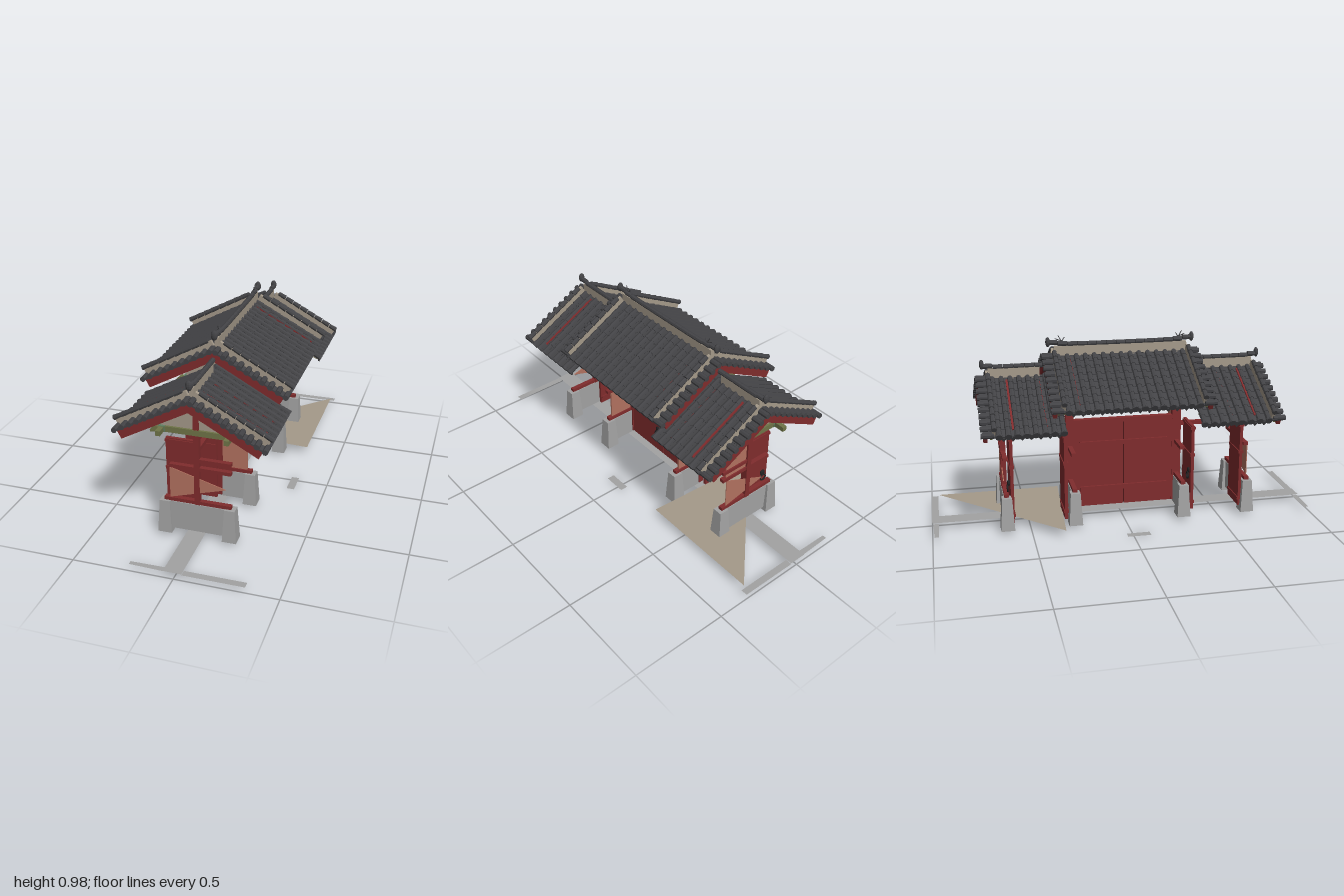
import * as THREE from 'three';
import { mergeGeometries } from 'three/addons/utils/BufferGeometryUtils.js';

const mat = (name, color, side = THREE.FrontSide) => {
  const m = new THREE.MeshStandardMaterial({ color, side, flatShading: true });
  m.name = name;
  return m;
};
const M = {
  tile: mat('dark tile', 0x434346),
  red: mat('red wood', 0x802c2d),
  wall: mat('terracotta plaster', 0xb37260, THREE.DoubleSide),
  tan: mat('tan mortar', 0xa59a8a, THREE.DoubleSide),
  olive: mat('olive timber', 0x6f7448),
  green: mat('green bracket', 0x5f8063),
  stone: mat('grey stone', 0xa3a3a3, THREE.DoubleSide),
  iron: mat('black iron', 0x232324),
  frame: mat('plaque frame', 0x7f8886),
};
const SLOPE = 0.54, ANGLE = Math.atan(SLOPE), LEN = 0.42, SEGS = 8;

function add(parent, name, geo, material, x = 0, y = 0, z = 0) {
  const m = new THREE.Mesh(geo, material);
  m.name = name;
  m.position.set(x, y, z);
  parent.add(m);
  return m;
}
// box given by its min and max on each axis
function span(parent, name, material, x0, x1, y0, y1, z0, z1) {
  return add(parent, name, new THREE.BoxGeometry(x1 - x0, y1 - y0, z1 - z0), material,
    (x0 + x1) / 2, (y0 + y1) / 2, (z0 + z1) / 2);
}
// outline in x and y, extruded along z around zc
function plate(parent, name, material, pts, depth, zc) {
  const shape = new THREE.Shape(pts.map(p => new THREE.Vector2(p[0], p[1])));
  const geo = new THREE.ExtrudeGeometry(shape, { depth, bevelEnabled: false });
  return add(parent, name, geo, material, 0, 0, zc - depth / 2);
}
// flat polygon lying on the ground, points in x and z
function ground(parent, name, material, pts, y) {
  const shape = new THREE.Shape(pts.map(p => new THREE.Vector2(p[0], -p[1])));
  return add(parent, name, new THREE.ShapeGeometry(shape).rotateX(-Math.PI / 2), material, 0, y, 0);
}

// one slope: local x runs down the roof, local y is its normal
function roofHalf(z0, z1, verges, slits) {
  const g = new THREE.Group();
  g.name = 'roofSlope';
  const tiles = [], rafters = [], step = LEN / SEGS, mid = (z0 + z1) / 2, w = z1 - z0;
  const has = s => verges.includes(s);
  const t0 = z0 + (has(-1) ? 0.085 : 0.02), t1 = z1 - (has(1) ? 0.085 : 0.02);
  const n = Math.round((t1 - t0) / 0.045);
  // cover tiles with round eave ends and drip tiles
  for (let i = 0; i <= n; i++) {
    const z = t0 + (t1 - t0) * i / n;
    for (let j = 0; j < SEGS; j++)
      tiles.push(new THREE.CylinderGeometry(0.0125, 0.0155, step, 8)
        .rotateZ(Math.PI / 2).translate((j + 0.5) * step, -0.009, z));
    tiles.push(new THREE.CylinderGeometry(0.018, 0.018, 0.01, 10)
      .rotateZ(Math.PI / 2).translate(LEN, -0.012, z));
    if (i < n) tiles.push(new THREE.CylinderGeometry(0.021, 0.021, 0.006, 3)
      .rotateZ(Math.PI / 2).rotateX(Math.PI / 2).scale(1, 0.8, 1).translate(LEN, -0.026, z + 0.0225));
  }
  // stepped pan tiles
  for (let j = 0; j < SEGS; j++)
    tiles.push(new THREE.BoxGeometry(step + 0.006, 0.008, w - 0.02).rotateZ(0.06)
      .translate((j + 0.5) * step, -0.014, mid));
  for (const s of verges) {
    const edge = s > 0 ? z1 : z0, zr = edge - s * 0.062;
    // short tiles pointing out over the gable
    for (let j = 0; j < 10; j++)
      tiles.push(new THREE.CylinderGeometry(0.014, 0.014, 0.062, 8).rotateX(Math.PI / 2)
        .translate(0.02 + j * 0.0435, -0.006, edge - s * 0.03));
    // raised verge with its row of caps
    for (let j = 0; j < SEGS; j++)
      tiles.push(new THREE.CylinderGeometry(0.0115, 0.014, 0.046, 8).rotateZ(Math.PI / 2)
        .translate(0.05 + j * 0.049, 0.034, zr));
    span(g, 'vergeWall', M.tan, 0.01, LEN - 0.01, -0.01, 0.03, zr - 0.008, zr + 0.008);
  }
  add(g, 'roofTiles', mergeGeometries(tiles), M.tile);
  for (const z of slits) span(g, 'redSlit', M.red, 0.03, LEN - 0.04, -0.012, -0.004, z - 0.005, z + 0.005);
  // boarding and rafters below
  span(g, 'roofBoards', M.tan, 0, LEN - 0.01, -0.028, -0.018, z0 + 0.02, z1 - 0.02);
  for (let z = z0 + 0.045; z < z1 - 0.035; z += 0.032)
    rafters.push(new THREE.BoxGeometry(LEN - 0.03, 0.014, 0.013).translate(LEN / 2, -0.034, z));
  add(g, 'rafters', mergeGeometries(rafters), M.olive);
  return g;
}

function roof(name, apex, z0, z1, verges, slits) {
  const g = new THREE.Group();
  g.name = name;
  const right = roofHalf(z0, z1, verges, slits);
  const left = roofHalf(-z1, -z0, verges.map(v => -v), slits.map(z => -z));
  const turn = new THREE.Group();
  turn.name = 'leftSlope';
  turn.rotation.y = Math.PI;
  turn.add(left);
  for (const h of [left, right]) { h.rotation.z = -ANGLE; h.position.y = apex; }
  g.add(right, turn);
  // bargeboards
  const half = [[0.35, apex - 0.204], [0.328, apex - 0.245]];
  const board = [[0, apex - 0.015], ...half, [0, apex - 0.065],
    ...half.slice().reverse().map(p => [-p[0], p[1]])];
  for (const s of verges) plate(g, 'bargeboard', M.red, board, 0.02, (s > 0 ? z1 : z0) - s * 0.022);
  // ridge wall and caps, lifted towards the open ends
  const a = z0 + (verges.includes(-1) ? 0.035 : 0.06), b = z1 - (verges.includes(1) ? 0.035 : 0.06);
  span(g, 'ridgeWall', M.tan, -0.01, 0.01, apex - 0.02, apex + 0.036, a + 0.03, b - 0.03);
  const caps = [], n = Math.round((b - a) / 0.05), d = (b - a) / n;
  const lift = z => {
    const t = (z - a) / (b - a) * 2 - 1;
    return verges.includes(Math.sign(t)) ? 0.018 * t ** 6 : 0;
  };
  for (let i = 0; i < n; i++) {
    const z = a + (i + 0.5) * d;
    caps.push(new THREE.CylinderGeometry(0.013, 0.013, d * 0.95, 8).rotateX(Math.PI / 2)
      .translate(0, apex + 0.043 + lift(z), z));
  }
  for (const s of verges)
    caps.push(new THREE.SphereGeometry(0.017, 10, 8).scale(1, 1.5, 0.7)
      .translate(0, apex + 0.058, s > 0 ? b : a));
  add(g, 'ridgeCaps', mergeGeometries(caps), M.tile);
  // purlins
  for (const x of [-0.165, 0.165])
    span(g, 'purlin', M.olive, x - 0.012, x + 0.012, apex - 0.225, apex - 0.2, z0 + 0.05, z1 - 0.05);
  return g;
}

// cross frame: stone feet, plinth, post, rails, plaster and gable; h lifts its head
function crossFrame(z, apex, width, panel) {
  const g = new THREE.Group();
  g.name = 'crossFrame';
  const h = apex - 0.79;
  for (const x of [-0.16, 0.165]) {
    const foot = new THREE.CylinderGeometry(0.036, 0.05, 0.172, 4).rotateY(Math.PI / 4);
    add(g, 'stoneFoot', foot, M.stone, x, 0.106, z);
  }
  span(g, 'stonePlinth', M.stone, -0.135, 0.14, 0.04, 0.19, z - 0.015, z + 0.015);
  span(g, 'post', M.red, -0.012, 0.015, 0.05, apex - 0.04, z - width / 2, z + width / 2);
  for (const [x0, x1, y] of [[-0.165, 0.17, 0.2], [-0.135, 0.17, 0.384], [0.015, 0.17, 0.43]])
    span(g, 'rail', M.red, x0, x1, y - 0.009, y + 0.009, z - 0.012, z + 0.012);
  if (panel === 'full') span(g, 'plasterPanel', M.wall, 0.01, 0.145, 0.19, 0.57 + h, z - 0.005, z + 0.005);
  if (panel === 'front')
    plate(g, 'brokenPlaster', M.wall, [[-0.135, 0.375], [-0.135, 0.21], [0.145, 0.295]], 0.004, z + 0.008);
  if (panel === 'back') {
    span(g, 'plasterPanel', M.wall, 0.01, 0.145, 0.38, 0.57, z - 0.004, z + 0.004);
    plate(g, 'brokenPlaster', M.wall, [[0.145, 0.375], [0.145, 0.21], [-0.1, 0.26]], 0.004, z - 0.008);
  }
  const eave = apex - 0.035 - 0.17 * SLOPE;
  plate(g, 'gableInfill', M.tan,
    [[-0.17, 0.57 + h], [0.17, 0.57 + h], [0.17, eave], [0, apex - 0.035], [-0.17, eave]], 0.01, z);
  span(g, 'tieBeam', M.olive, -0.15, 0.15, 0.563 + h, 0.592 + h, z - 0.016, z + 0.016);
  for (const s of [-1, 1]) {
    add(g, 'beamBlock', new THREE.BoxGeometry(0.033, 0.031, 0.036), M.green, s * 0.165, 0.577 + h, z);
    plate(g, 'beamTip', M.olive, [[s * 0.182, 0.585 + h], [s * 0.2, 0.585 + h], [s * 0.225, 0.562 + h],
      [s * 0.222, 0.553 + h], [s * 0.19, 0.557 + h]], 0.03, z);
  }
  return g;
}

function ringHandle(parent, x, y, z, ry) {
  const g = new THREE.Group();
  g.name = 'ringHandle';
  add(g, 'handleBoss', new THREE.SphereGeometry(0.016, 10, 6).scale(1, 1, 0.5), M.iron, 0, 0.018, 0);
  add(g, 'handleRing', new THREE.TorusGeometry(0.017, 0.004, 6, 14), M.iron, 0, -0.01, 0.006);
  g.position.set(x, y, z);
  g.rotation.y = ry;
  parent.add(g);
}

export function createModel() {
  const g = new THREE.Group();
  g.name = 'roofedGate';
  // roofs
  g.add(roof('mainRoof', 0.89, -0.41, 0.41, [-1, 1], [-0.27, -0.09, 0.09, 0.23]));
  g.add(roof('frontSideRoof', 0.79, 0.33, 0.768, [1], [0.5, 0.545, 0.62]));
  g.add(roof('backSideRoof', 0.79, -0.745, -0.33, [-1], [-0.59, -0.53, -0.43]));
  // branching finials on the main ridge
  for (const s of [-1, 1]) for (const [dz, tilt, len] of [[0, -0.5, 0.05], [-0.012, 0.6, 0.03], [0.012, -1.2, 0.035]]) {
    const twig = add(g, 'finialTwig', new THREE.CylinderGeometry(0.002, 0.003, len, 5), M.tile, 0, 0.958, s * (0.31 + dz));
    twig.rotation.x = -s * tilt;
  }
  // frames
  g.add(crossFrame(0.65, 0.79, 0.028, 'front'), crossFrame(0.302, 0.89, 0.048, 'full'),
    crossFrame(-0.272, 0.89, 0.042, 'full'), crossFrame(-0.622, 0.79, 0.028, 'back'));
  // side doors standing open, and the bars over them
  for (const z of [0.614, 0.35, -0.318, -0.592]) {
    span(g, 'sideDoor', M.red, -0.165, 0, 0.05, 0.51, z - 0.008, z + 0.008);
    for (const y of [0.09, 0.35, 0.497])
      span(g, 'sideDoorBatten', M.red, -0.167, -0.005, y - 0.007, y + 0.007, z - 0.013, z + 0.013);
  }
  ringHandle(g, -0.13, 0.24, -0.607, Math.PI);
  ringHandle(g, -0.13, 0.24, 0.34, Math.PI);
  for (const [a, b] of [[0.3, 0.65], [-0.62, -0.27]]) {
    span(g, 'sideLintel', M.red, -0.012, 0.012, 0.47, 0.49, a, b);
  }
  // main doors
  span(g, 'mainDoorFront', M.red, -0.01, 0.01, 0.05, 0.51, 0.016, 0.28);
  span(g, 'mainDoorBack', M.red, -0.01, 0.01, 0.05, 0.51, -0.252, 0.012);
  for (const y of [0.15, 0.4]) span(g, 'doorBar', M.red, -0.022, -0.008, y - 0.012, y + 0.012, -0.22, 0.25);
  for (const z of [0.055, -0.025]) ringHandle(g, 0.013, 0.18, z, Math.PI / 2);
  span(g, 'mainLintel', M.red, -0.016, 0.016, 0.51, 0.532, -0.26, 0.28);
  span(g, 'upperLintel', M.red, -0.014, 0.014, 0.615, 0.64, -0.26, 0.28);
  // blank name board, leaning outwards
  const board = new THREE.Group();
  board.name = 'nameBoard';
  span(board, 'boardFrame', M.frame, -0.008, 0.008, -0.045, 0.045, -0.13, 0.13);
  span(board, 'boardFace', M.iron, 0.008, 0.012, -0.036, 0.036, -0.115, 0.115);
  board.position.set(0.05, 0.593, -0.005);
  board.rotation.z = -0.3;
  g.add(board);
  // paving
  ground(g, 'threshold', M.stone, [[-0.05, -1], [0.04, -1], [0.04, 1], [-0.05, 1]], 0.035);
  for (const s of [-1, 1]) {
    ground(g, 'endKerb', M.stone, [[0.04, s], [0.34, s], [0.34, s * 0.965], [0.04, s * 0.965]], 0.03);
    ground(g, 'endKerbSplinter', M.stone, [[-0.05, s * 0.965], [-0.22, s * 0.968], [-0.22, s * 0.99], [-0.05, s * 0.995]], 0.03);
    ground(g, 'stepSlab', M.stone, [[s * 0.3, -0.03], [s * 0.34, -0.03], [s * 0.34, 0.09], [s * 0.3, 0.09]], 0);
  }
  ground(g, 'tanPaving', M.tan, [[0.32, -0.96], [0.32, -0.3], [-0.3, -0.34]], 0.045);
  return g;
}
